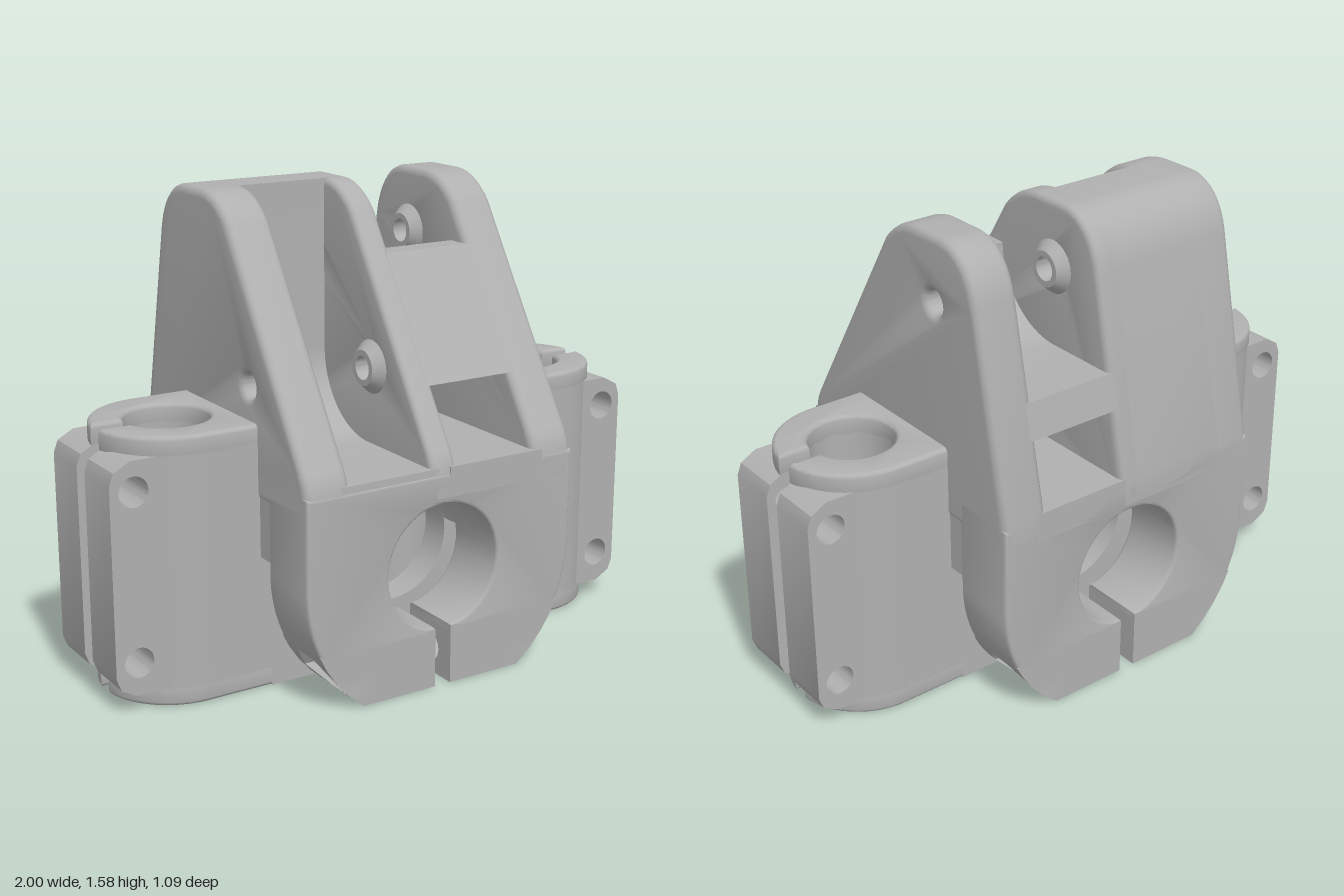
import * as THREE from 'three';
import { toCreasedNormals } from 'three/addons/utils/BufferGeometryUtils.js';

const PI = Math.PI;
const BORE_Y = 0.41, BORE_R = 0.21, BODY_R = 0.51;
const bodyX = (y) => (y > BORE_Y ? BODY_R : Math.sqrt(BODY_R ** 2 - (y - BORE_Y) ** 2));

export function createModel() {
  const model = new THREE.Group();
  const grey = new THREE.MeshStandardMaterial({ color: 0xb0b0b0 });
  grey.name = 'grey plastic';

  function add(name, geo, angle = 0) {
    geo.rotateY(angle);
    const mesh = new THREE.Mesh(toCreasedNormals(geo, 0.6), grey);
    mesh.name = name;
    model.add(mesh);
  }
  // Extrude from a to b, with an optional edge bevel that stays inside the outline
  function extrude(shape, a, b, bevel = 0) {
    return new THREE.ExtrudeGeometry(shape, {
      depth: b - a - 2 * bevel, curveSegments: 20, bevelEnabled: bevel > 0,
      bevelSize: bevel, bevelThickness: bevel, bevelOffset: -bevel, bevelSegments: 3,
    }).translate(0, 0, a + bevel);
  }
  // For alongX the outline is drawn in (u, y) with u = -z
  const alongX = (s, a, b, bevel) => extrude(s, a, b, bevel).rotateY(PI / 2);
  const alongY = (s, a, b, bevel) => extrude(s, a, b, bevel).rotateX(-PI / 2);
  const poly = (pts) => new THREE.Shape(pts.map(([x, y]) => new THREE.Vector2(x, y)));
  const hole = (x, y, r, n = 0) => {
    if (n) {
      return new THREE.Path(Array.from({ length: n }, (_, i) =>
        new THREE.Vector2(x + r * Math.cos(i * 2 * PI / n), y + r * Math.sin(i * 2 * PI / n))));
    }
    return new THREE.Path().absarc(x, y, r, 0, 2 * PI, true);
  };

  // Upper walls: full side profile with pin holes
  const upperPin = [0.19, 1.36], lowerPin = [-0.19, 1.0];
  function wallShape(pins) {
    const s = new THREE.Shape();
    s.moveTo(-0.545, 0.64);
    s.lineTo(0.545, 0.64);
    s.lineTo(0.545, 0.74);
    s.lineTo(0.405, 1.4);
    s.bezierCurveTo(0.385, 1.51, 0.32, 1.58, 0.23, 1.58);
    s.lineTo(0.11, 1.58);
    s.bezierCurveTo(0.04, 1.58, -0.02, 1.55, -0.07, 1.49);
    s.lineTo(-0.51, 0.8);
    s.quadraticCurveTo(-0.545, 0.75, -0.545, 0.68);
    for (const [u, y] of pins) s.holes.push(hole(u, y, 0.04));
    return s;
  }
  add('rightWall', alongX(wallShape([lowerPin]), -0.51, -0.35, 0.025));
  add('middleWall', alongX(wallShape([lowerPin, upperPin]), -0.05, 0.045, 0.02));
  add('leftWall', alongX(wallShape([upperPin]), 0.35, 0.51, 0.025));

  // Right pocket, open to the front, with a curved floor
  const front = new THREE.Shape();
  front.moveTo(-0.545, 0.64);
  front.lineTo(0.545, 0.64);
  front.lineTo(0.545, 0.74);
  front.lineTo(0.405, 1.4);
  front.bezierCurveTo(0.385, 1.51, 0.32, 1.58, 0.23, 1.58);
  front.lineTo(0.1, 1.58);
  front.lineTo(0.1, 1.01);
  front.absarc(-0.17, 1.01, 0.27, 0, -PI / 2, true);
  front.lineTo(-0.54, 0.74);
  add('frontPocket', alongX(front, -0.385, -0.02));

  // Left pocket, open to the back, above a straight window
  const back = new THREE.Shape();
  back.moveTo(-0.4, 0.97);
  back.lineTo(0.496, 0.97);
  back.lineTo(0.47, 1.09);
  back.lineTo(0.2, 1.09);
  back.absarc(0.2, 1.36, 0.27, -PI / 2, -PI, true);
  back.lineTo(-0.15, 1.36);
  add('backPocket', alongX(back, 0.02, 0.385));
  add('windowSill', alongX(poly([[-0.545, 0.64], [0.545, 0.64], [0.545, 0.74], [-0.545, 0.74]]), 0.02, 0.385));

  // Conical bosses around the pins
  const bossProfile = [[0.09, 0], [0.06, 0.035], [0.04, 0.035], [0.04, -0.01]].map((p) => new THREE.Vector2(...p));
  for (const [x, dir, [u, y]] of [[-0.35, 1, lowerPin], [-0.05, -1, lowerPin], [0.045, 1, upperPin], [0.35, -1, upperPin]]) {
    add('pinBoss', new THREE.LatheGeometry(bossProfile, 32).rotateZ(-dir * PI / 2).translate(x, y, -u));
  }

  // Lower body: split clamp at the front and back
  const t = Math.asin(0.18 / BODY_R - BORE_Y / BODY_R);
  const slit = Math.asin(0.03 / BORE_R);
  const clamp = new THREE.Shape();
  clamp.moveTo(0.03, 0.18);
  clamp.lineTo(bodyX(0.18), 0.18);
  clamp.absarc(0, BORE_Y, BODY_R, t, 0, false);
  clamp.lineTo(BODY_R, 0.72);
  clamp.lineTo(-BODY_R, 0.72);
  clamp.absarc(0, BORE_Y, BODY_R, PI, PI - t, false);
  clamp.lineTo(-0.03, 0.18);
  clamp.absarc(0, BORE_Y, BORE_R, -PI / 2 - slit, -PI / 2 + slit, true);

  // Bridge over the narrow gap between clamp and crossbar
  const b = Math.asin(0.04 / BORE_R);
  const bridge = new THREE.Shape();
  bridge.moveTo(BORE_R * Math.cos(b), 0.45);
  bridge.lineTo(0.505, 0.45);
  bridge.lineTo(0.505, 0.7);
  bridge.lineTo(-0.505, 0.7);
  bridge.lineTo(-0.505, 0.45);
  bridge.absarc(0, BORE_Y, BORE_R, PI - b, b, true);

  // Crossbar walls with the bore
  const barWall = poly([[-0.47, 0], [0.47, 0], [0.47, 0.7], [-0.47, 0.7]]);
  barWall.holes.push(hole(0, BORE_Y, BORE_R));

  // Clamp feet with bolt holes and hexagonal recesses
  const foot = (n) => {
    const ys = [0, 0.05, 0.1, 0.15, 0.2];
    const s = poly([...ys.map((y) => [0.1175, y]), ...ys.map((y) => [-0.1175, y]).reverse()]);
    s.holes.push(hole(0, 0.09, n ? 0.09 : 0.05, n));
    return s;
  };

  // Vertical rod clamp at each end of the crossbar
  function rodClamp(cut) {
    const a = cut ? Math.acos(0.14 / 0.25) : Math.asin(0.03 / 0.25);
    const h = Math.asin(0.03 / 0.14);
    const s = new THREE.Shape();
    s.moveTo(0.45, -0.25);
    s.lineTo(0.7, -0.25);
    s.absarc(0.7, 0, 0.25, -PI / 2, -a, false);
    if (cut) s.lineTo(0.84, -0.03);
    s.absarc(0.7, 0, 0.14, -h, h, true);
    if (cut) s.lineTo(0.84, 0.03);
    s.absarc(0.7, 0, 0.25, a, PI / 2, false);
    s.lineTo(0.45, 0.25);
    return s;
  }
  // Rounded end of the slot under the crossbar
  const slotEnd = new THREE.Shape();
  slotEnd.moveTo(0.47, -0.15);
  slotEnd.lineTo(0.47, 0.15);
  slotEnd.lineTo(0.27, 0.15);
  slotEnd.absarc(0.27, 0, 0.14, PI / 2, -PI / 2, true);
  slotEnd.lineTo(0.27, -0.15);

  // Screw ears
  const ear = poly([[0.83, 0.06], [0.93, 0.06], [0.985, 0.09], [1, 0.13], [1, 0.76], [0.985, 0.8], [0.93, 0.83], [0.83, 0.83]]);
  ear.holes.push(hole(0.92, 0.17, 0.05), hole(0.92, 0.73, 0.05));

  add('slotRoof', alongY(poly([[-0.47, -0.15], [0.47, -0.15], [0.47, 0.15], [-0.47, 0.15]]), 0.62, 0.7));

  // Everything below repeats on opposite sides
  for (const angle of [0, PI]) {
    add('boreClamp', extrude(clamp, 0.31, 0.545, 0.012), angle);
    add('bridge', extrude(bridge, 0.24, 0.33), angle);
    add('crossbarWall', extrude(barWall, 0.14, 0.25), angle);
    for (const z of [-0.4275, 0.4275]) {
      add('foot', alongX(foot(0), 0.03, 0.26).translate(0, 0, z), angle);
      const outer = alongX(foot(6), 0.26, 0.46);
      const p = outer.attributes.position;
      for (let i = 0; i < p.count; i++) if (p.getX(i) > 0.3) p.setX(i, bodyX(p.getY(i)));
      outer.computeVertexNormals();
      add('footNutRecess', outer.translate(0, 0, z), angle);
    }
    add('slotEnd', alongY(slotEnd, 0, 0.65), angle);
    add('rodClampBase', alongY(rodClamp(false), 0, 0.085, 0.012), angle);
    add('rodClamp', alongY(rodClamp(true), 0.06, 0.83), angle);
    add('rodClampTop', alongY(rodClamp(false), 0.81, 0.89, 0.015), angle);
    add('screwEar', extrude(ear, 0.03, 0.21), angle);
    add('screwEar', extrude(ear, -0.21, -0.03), angle);
  }
  return model;
}
